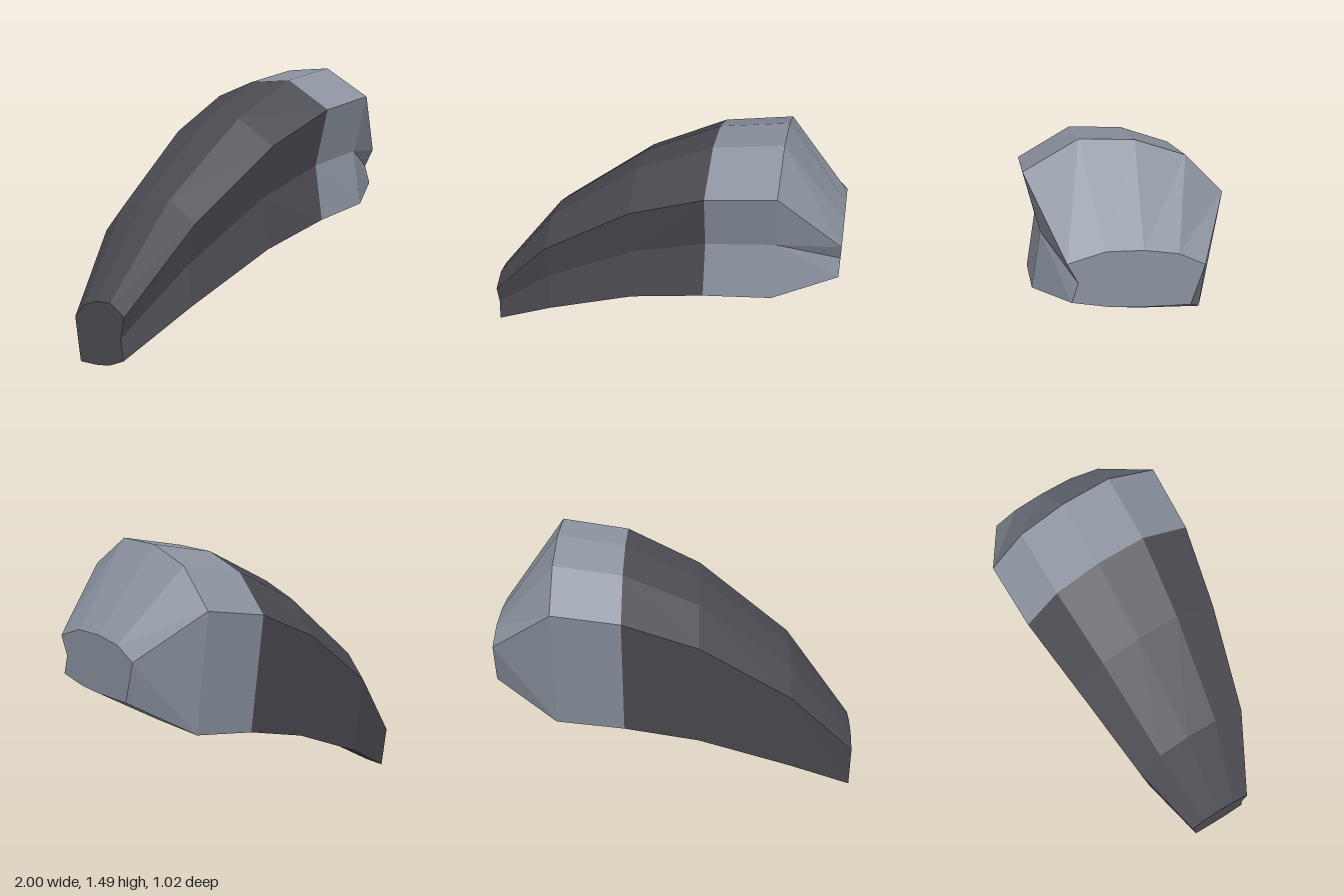
import * as THREE from 'three';

// Cross-section as [z, y above its lowest point]; the last point is a shallow notch.
const PROFILE = [
  [0.51, 0.82], [0.23, 0.975], [-0.05, 0.955], [-0.31, 0.86], [-0.51, 0.65],
  [-0.41, 0], [-0.05, 0.02], [0.2, 0.065], [0.48, 0.185], [0.43, 0.495],
];
const N = PROFILE.length;

// Stations along the curve: x, lowest y, height scale, width scale.
const STATIONS = [
  [-1, 0, 0.364, 0.363],
  [-0.63, 0.18, 0.682, 0.65],
  [-0.12, 0.37, 0.892, 0.843],
  [0.29, 0.465, 0.99, 0.975],
  [0.66, 0.51, 1, 1],
  [1, 0.705, 0.328, 0.67],
];

const ring = ([x, y0, sy, sz]) =>
  PROFILE.map(([z, y]) => new THREE.Vector3(x, y0 + y * sy, z * sz));

// Faceted skin between successive rings, optionally closed at either end.
function loft(stations, capStart, capEnd) {
  const rings = stations.map(ring);
  const points = [];
  for (let s = 0; s < rings.length - 1; s++) {
    const a = rings[s], b = rings[s + 1];
    for (let i = 0; i < N; i++) {
      const j = (i + 1) % N;
      if (i === N - 1) points.push(a[i], b[i], b[j], a[i], b[j], a[j]);
      else points.push(a[i], b[i], a[j], a[j], b[i], b[j]);
    }
  }
  // Fans from the notch point stay inside the concave outline.
  const first = rings[0], last = rings[rings.length - 1];
  for (let i = 0; i < N - 2; i++) {
    if (capStart) points.push(first[N - 1], first[i], first[i + 1]);
    if (capEnd) points.push(last[N - 1], last[i + 1], last[i]);
  }
  const geometry = new THREE.BufferGeometry().setFromPoints(points);
  geometry.computeVertexNormals();
  return geometry;
}

export function createModel() {
  const darkGrey = new THREE.MeshStandardMaterial({ color: 0x4a4a51 });
  darkGrey.name = 'dark grey';
  const lightGrey = new THREE.MeshStandardMaterial({ color: 0x8a929e });
  lightGrey.name = 'light grey';

  const group = new THREE.Group();
  group.name = 'curvedHorn';

  // Long dark body, tapering down to its narrow end
  const body = new THREE.Mesh(loft(STATIONS.slice(0, 4), true, false), darkGrey);
  body.name = 'taperedBody';

  // Pale blunt tip
  const tip = new THREE.Mesh(loft(STATIONS.slice(3), false, true), lightGrey);
  tip.name = 'bluntTip';

  group.add(body, tip);
  return group;
}
